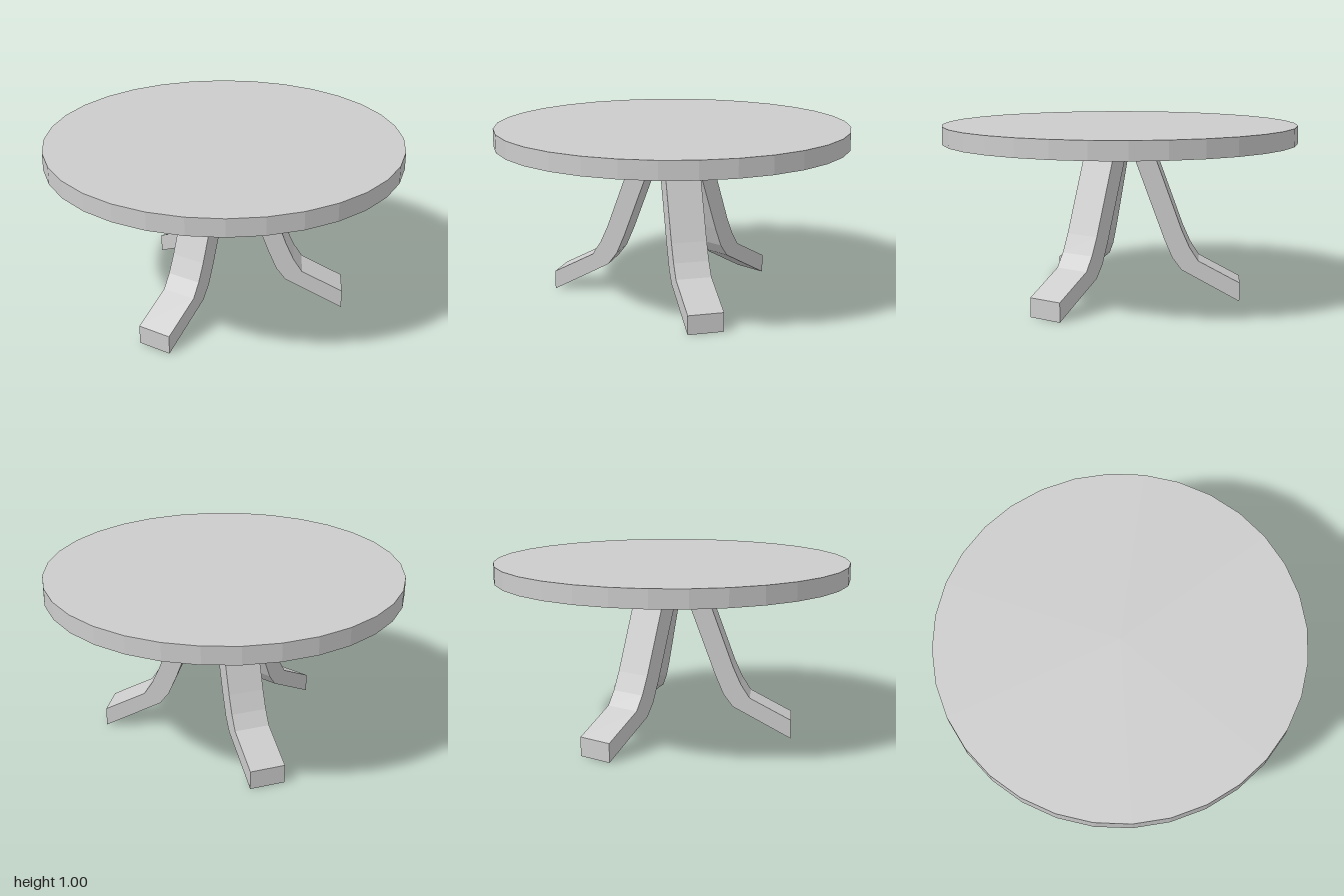
import * as THREE from 'three';

export function createModel() {
  const model = new THREE.Group();
  model.name = 'roundTable';
  const material = new THREE.MeshStandardMaterial({ color: 0xcccccc, flatShading: true });

  // Round top
  const top = new THREE.Mesh(new THREE.CylinderGeometry(1, 1, 0.1, 32), material);
  top.name = 'tableTop';
  top.position.y = 0.95;
  model.add(top);

  // Leg side profile: distance from the centre, height
  const profile = [
    [0.06, 0.9], [0.26, 0.36], [0.307, 0.25], [0.36, 0.18], [0.69, 0.003],
    [0.69, 0.11], [0.455, 0.233], [0.405, 0.31], [0.36, 0.41], [0.18, 0.9],
  ];
  const shape = new THREE.Shape(profile.map(([r, y]) => new THREE.Vector2(r, y)));
  const width = 0.2;
  const legGeometry = new THREE.ExtrudeGeometry(shape, { depth: width, bevelEnabled: false });
  legGeometry.translate(0, 0, -width / 2);

  // Three legs, one to the front and two to the back
  ['frontLeg', 'backLeftLeg', 'backRightLeg'].forEach((name, i) => {
    const leg = new THREE.Mesh(legGeometry, material);
    leg.name = name;
    leg.rotation.y = -Math.PI / 2 + (i * 2 * Math.PI) / 3;
    model.add(leg);
  });

  return model;
}
